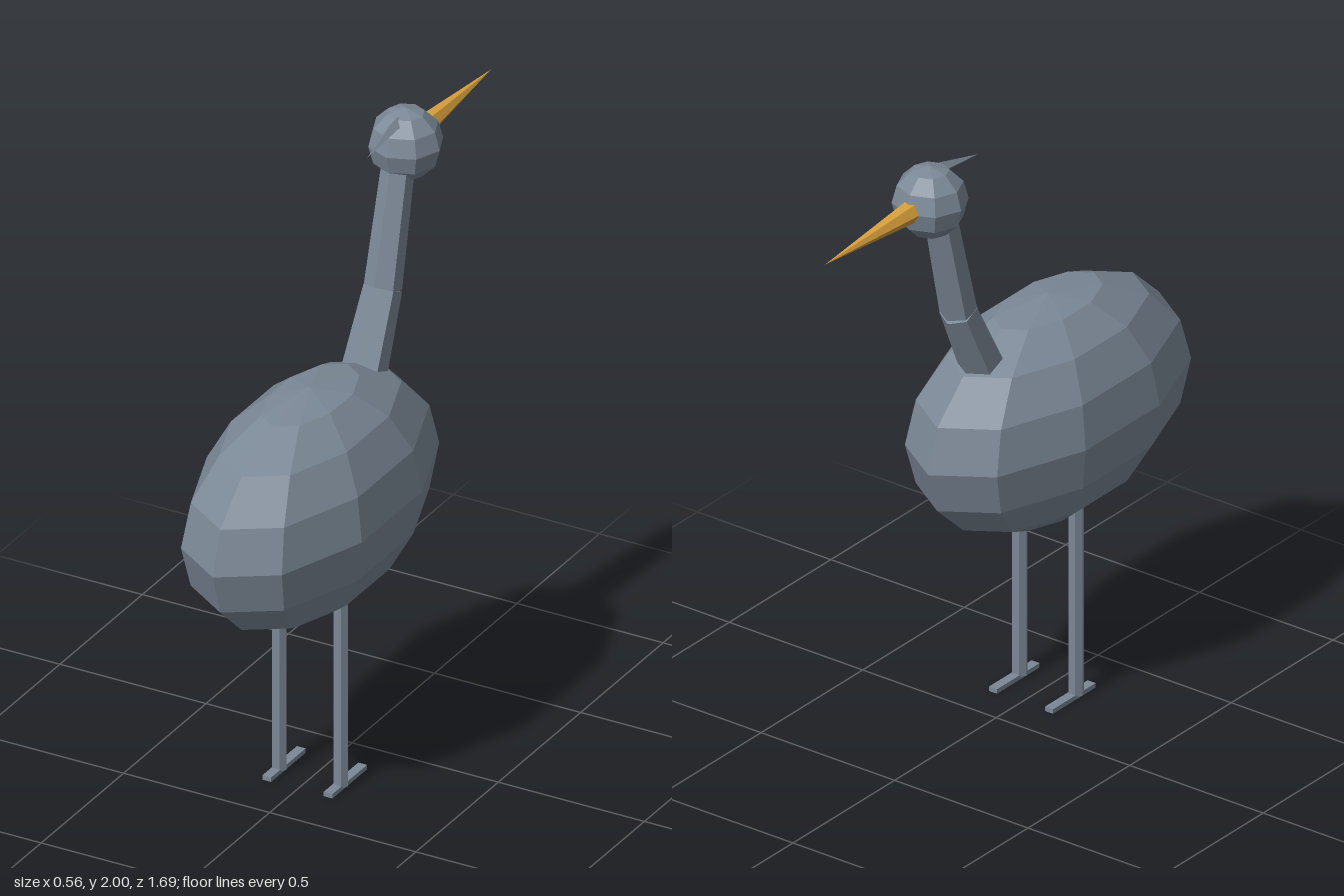
import * as THREE from 'three';

const plumage = new THREE.MeshStandardMaterial({ color: 0x7b8896, flatShading: true });
const horn = new THREE.MeshStandardMaterial({ color: 0xd9a03c, flatShading: true });

export function createModel() {
  const model = new THREE.Group();
  model.name = 'wadingBird';

  function add(name, geometry, x, y, z, material = plumage) {
    const mesh = new THREE.Mesh(geometry, material);
    mesh.name = name;
    mesh.position.set(x, y, z);
    model.add(mesh);
    return mesh;
  }

  // Tapered prism between two points [y, z] of the plane x = offset
  function limb(name, from, to, r0, r1, sides, { x = 0, turn = 0, material = plumage } = {}) {
    const dy = to[0] - from[0], dz = to[1] - from[1];
    const geometry = new THREE.CylinderGeometry(r1, r0, Math.hypot(dy, dz), sides);
    geometry.rotateY(turn);
    const mesh = add(name, geometry, x, (from[0] + to[0]) / 2, (from[1] + to[1]) / 2, material);
    mesh.rotation.x = Math.atan2(dz, dy);
    return mesh;
  }

  // Faceted egg-shaped body, lengthwise along z
  const body = new THREE.SphereGeometry(1, 10, 8);
  body.rotateY(Math.PI / 2);
  body.scale(0.294, 0.367, 0.59);
  add('body', body, 0, 0.96, 0.255);

  // Neck in two straight pieces that meet at a bend
  limb('lowerNeck', [1.19, -0.055], [1.455, -0.186], 0.072, 0.059, 6);
  limb('upperNeck', [1.455, -0.186], [1.85, -0.285], 0.058, 0.05, 6);

  // Head, beak and crest
  add('head', new THREE.SphereGeometry(0.116, 8, 6), 0, 1.884, -0.325);
  limb('beak', [1.885, -0.41], [1.885, -0.843], 0.036, 0, 6, { turn: Math.PI / 6, material: horn });
  limb('crest', [1.972, -0.28], [1.94, -0.09], 0.02, 0, 4);

  // Legs and feet
  for (const [side, x] of [['left', 0.105], ['right', -0.105]]) {
    limb(side + 'Leg', [0.008, 0.255], [0.7, 0.255], 0.025, 0.025, 6, { x, turn: Math.PI / 6 });
    add(side + 'Foot', new THREE.BoxGeometry(0.03, 0.015, 0.21), x, 0.0075, 0.227);
  }

  return model;
}
